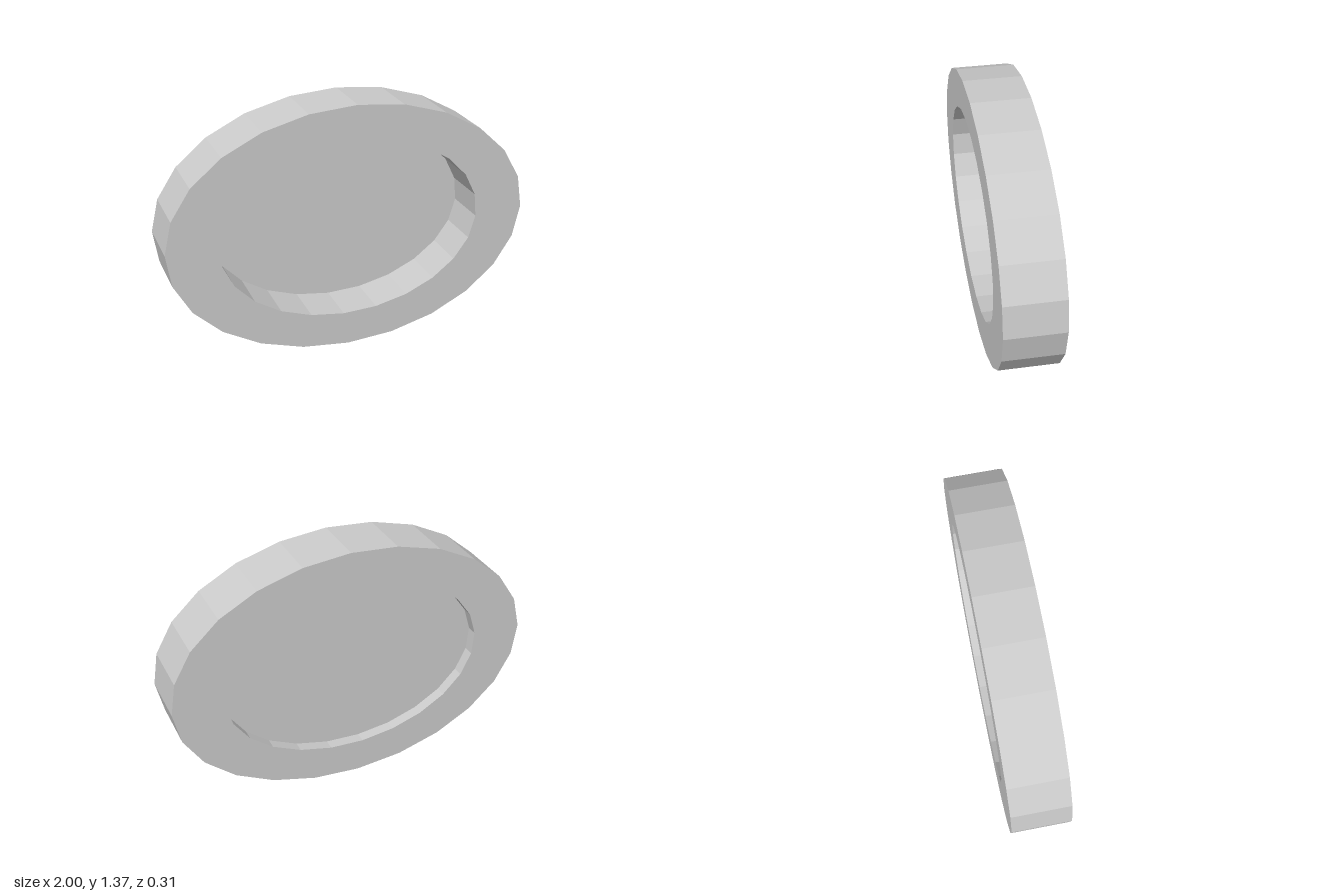
import * as THREE from 'three';

const SIDES = 24;
const CENTRE_Y = 0.684;
const DEPTH = 0.312;

// Faceted oval outline, counter-clockwise; phase turns the corners slightly clockwise.
function ovalPoints(rx, ry, phase) {
  return Array.from({ length: SIDES }, (_, i) => {
    const a = phase - (i / SIDES) * Math.PI * 2;
    return new THREE.Vector2(rx * Math.sin(a), ry * Math.cos(a));
  });
}

export function createModel() {
  const group = new THREE.Group();
  group.name = 'ovalFrame';

  const outer = ovalPoints(1, 0.684, 0.025);
  const inner = ovalPoints(0.724, 0.495, 0.069);

  // Thick oval rim with an open centre
  const rimShape = new THREE.Shape(outer);
  rimShape.holes.push(new THREE.Path(inner));
  const rim = new THREE.Mesh(
    new THREE.ExtrudeGeometry(rimShape, { depth: DEPTH, bevelEnabled: false }),
    new THREE.MeshStandardMaterial({ color: 0xcccccc, flatShading: true })
  );
  rim.name = 'rim';
  rim.position.set(0, CENTRE_Y, -DEPTH / 2);
  group.add(rim);

  // Thin panel closing the opening, set close to the back
  const panel = new THREE.Mesh(
    new THREE.ShapeGeometry(new THREE.Shape(inner)),
    new THREE.MeshStandardMaterial({ color: 0xcccccc, flatShading: true, side: THREE.DoubleSide })
  );
  panel.name = 'panel';
  panel.position.set(0, CENTRE_Y, -0.095);
  group.add(panel);

  return group;
}
